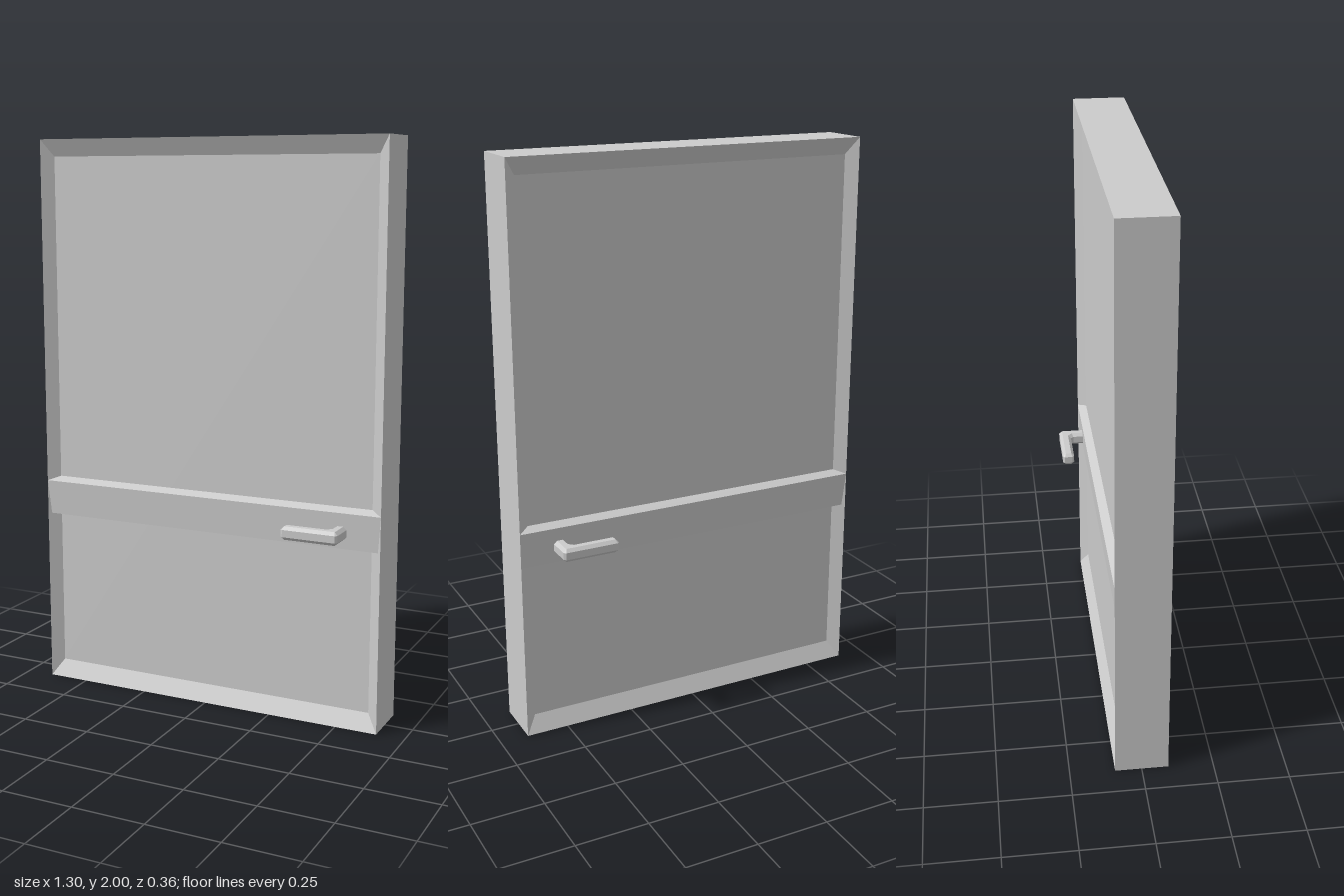
import * as THREE from 'three';

const W = 0.65, H = 2, Z = 0.093;          // half width, height, half thickness
const INSET_X = 0.04, INSET_Y = 0.06, PANEL_Z = 0.063;

const material = new THREE.MeshStandardMaterial({ color: 0xcccccc, flatShading: true });

function addMesh(parent, geometry, name) {
  const mesh = new THREE.Mesh(geometry, material);
  mesh.name = name;
  parent.add(mesh);
  return mesh;
}

// Door leaf: rectangular loops from back panel to front panel, with bevelled recesses
function leafGeometry() {
  const loop = (dx, dy, z) => [
    [-W + dx, dy, z], [W - dx, dy, z], [W - dx, H - dy, z], [-W + dx, H - dy, z],
  ];
  const loops = [
    loop(INSET_X, INSET_Y, -PANEL_Z), loop(0, 0, -Z),
    loop(0, 0, Z), loop(INSET_X, INSET_Y, PANEL_Z),
  ];
  const positions = [];
  const quad = (a, b, c, d) => [a, b, c, a, c, d].forEach((p) => positions.push(...p));
  for (let i = 0; i < loops.length - 1; i++) {
    for (let k = 0; k < 4; k++) {
      const n = (k + 1) % 4;
      quad(loops[i][k], loops[i][n], loops[i + 1][n], loops[i + 1][k]);
    }
  }
  const [back, , , front] = loops;
  quad(front[0], front[1], front[2], front[3]);
  quad(back[3], back[2], back[1], back[0]);
  const geometry = new THREE.BufferGeometry();
  geometry.setAttribute('position', new THREE.Float32BufferAttribute(positions, 3));
  geometry.computeVertexNormals();
  return geometry;
}

// Cross rail: one profile running through the leaf, sloped on top, extruded along x
function railGeometry() {
  const half = [[0.085, 0.635], [Z, 0.76], [PANEL_Z - 0.002, 0.776]];
  const points = [...half, ...half.map(([z, y]) => [-z, y]).reverse()]
    .map(([z, y]) => new THREE.Vector2(z, y));
  const length = 2 * W - 0.001;
  return new THREE.ExtrudeGeometry(new THREE.Shape(points), { depth: length, bevelEnabled: false })
    .translate(0, 0, -length / 2)
    .rotateY(Math.PI / 2);
}

// Lever handle: L-shaped outline (x, z) with chamfered edges, extruded along y
function handleGeometry() {
  const outline = [
    [0.485, 0.05], [0.528, 0.05], [0.528, 0.173], [0.521, 0.18], [0.332, 0.18],
    [0.325, 0.173], [0.325, 0.144], [0.332, 0.137], [0.475, 0.137], [0.485, 0.127],
  ].map(([x, z]) => new THREE.Vector2(x, z));
  const height = 0.047, bevel = 0.011;
  return new THREE.ExtrudeGeometry(new THREE.Shape(outline), {
    depth: height - 2 * bevel, bevelEnabled: true, bevelSegments: 1,
    bevelThickness: bevel, bevelSize: bevel, bevelOffset: -bevel,
  })
    .translate(0, 0, -(height - 2 * bevel) / 2)
    .rotateX(Math.PI / 2);
}

export function createModel() {
  const door = new THREE.Group();
  door.name = 'door';
  addMesh(door, leafGeometry(), 'doorLeaf');
  addMesh(door, railGeometry(), 'crossRail');

  // Matching handles on both faces
  const lever = handleGeometry();
  for (const [name, turn] of [['frontHandle', 0], ['backHandle', Math.PI]]) {
    const handle = addMesh(door, lever, name);
    handle.position.y = 0.69;
    handle.rotation.x = turn;
  }
  return door;
}
